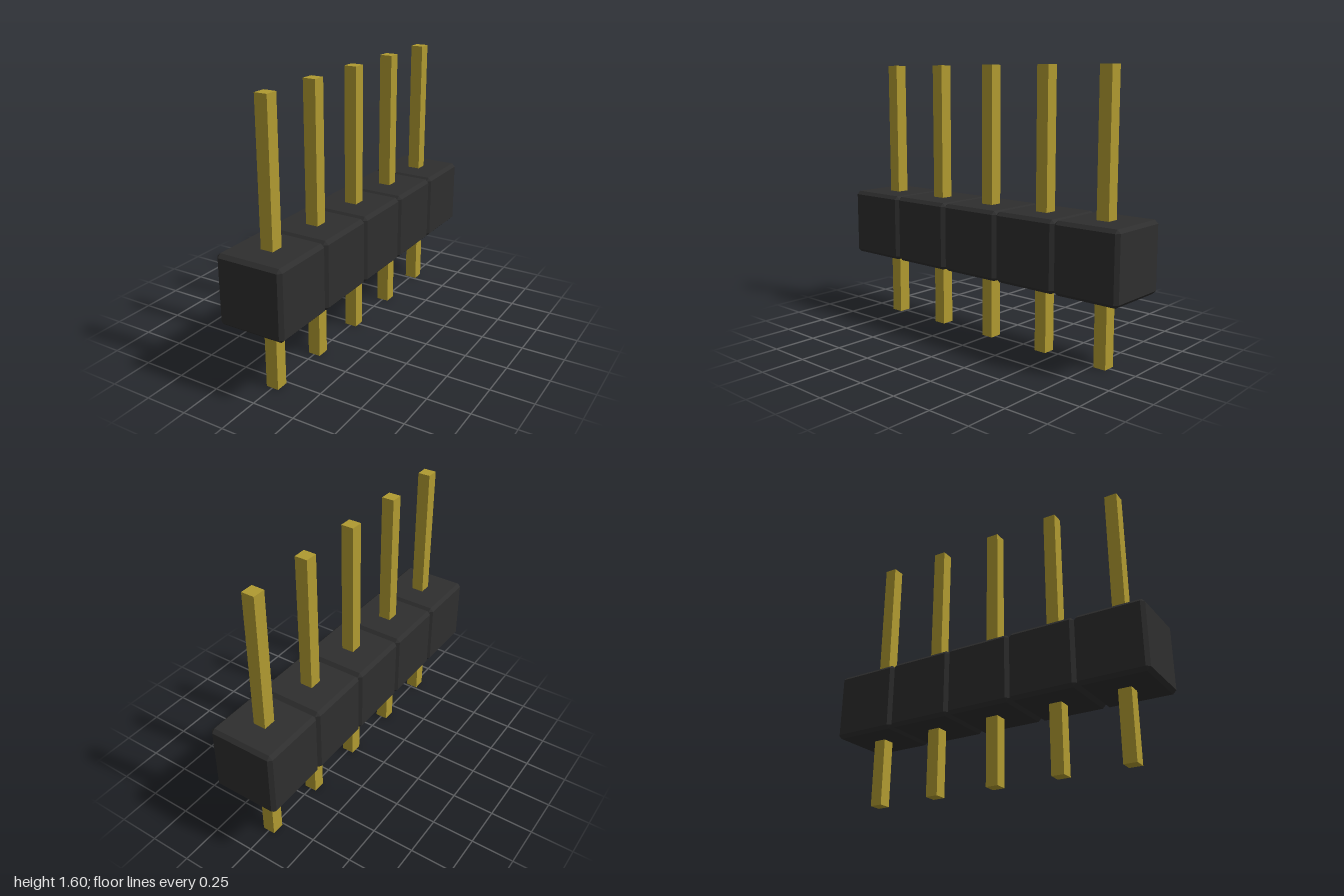
import * as THREE from 'three';
import { ConvexGeometry } from 'three/addons/geometries/ConvexGeometry.js';

// Cube with every edge and corner cut flat
function chamferedCube(size, chamfer) {
  const h = size / 2, k = h - chamfer;
  const points = [];
  for (const sx of [-1, 1]) for (const sy of [-1, 1]) for (const sz of [-1, 1]) {
    points.push(
      new THREE.Vector3(sx * h, sy * k, sz * k),
      new THREE.Vector3(sx * k, sy * h, sz * k),
      new THREE.Vector3(sx * k, sy * k, sz * h)
    );
  }
  return new ConvexGeometry(points);
}

export function createModel() {
  const model = new THREE.Group();
  model.name = 'pinHeader';

  const plastic = new THREE.MeshStandardMaterial({ color: 0x2e2e2e, flatShading: true });
  const brass = new THREE.MeshStandardMaterial({ color: 0xb09a30, flatShading: true });

  const count = 5, pitch = 0.4;
  const housingGeometry = chamferedCube(pitch, 0.02);
  const pinGeometry = new THREE.BoxGeometry(0.075, 1.6, 0.075);

  for (let i = 0; i < count; i++) {
    const z = (i - (count - 1) / 2) * pitch;

    // Plastic housing block
    const housing = new THREE.Mesh(housingGeometry, plastic);
    housing.name = `housing${i + 1}`;
    housing.position.set(0, 0.6, z);

    // Square pin running right through the block
    const pin = new THREE.Mesh(pinGeometry, brass);
    pin.name = `pin${i + 1}`;
    pin.position.set(0, 0.8, z);

    model.add(housing, pin);
  }
  return model;
}
